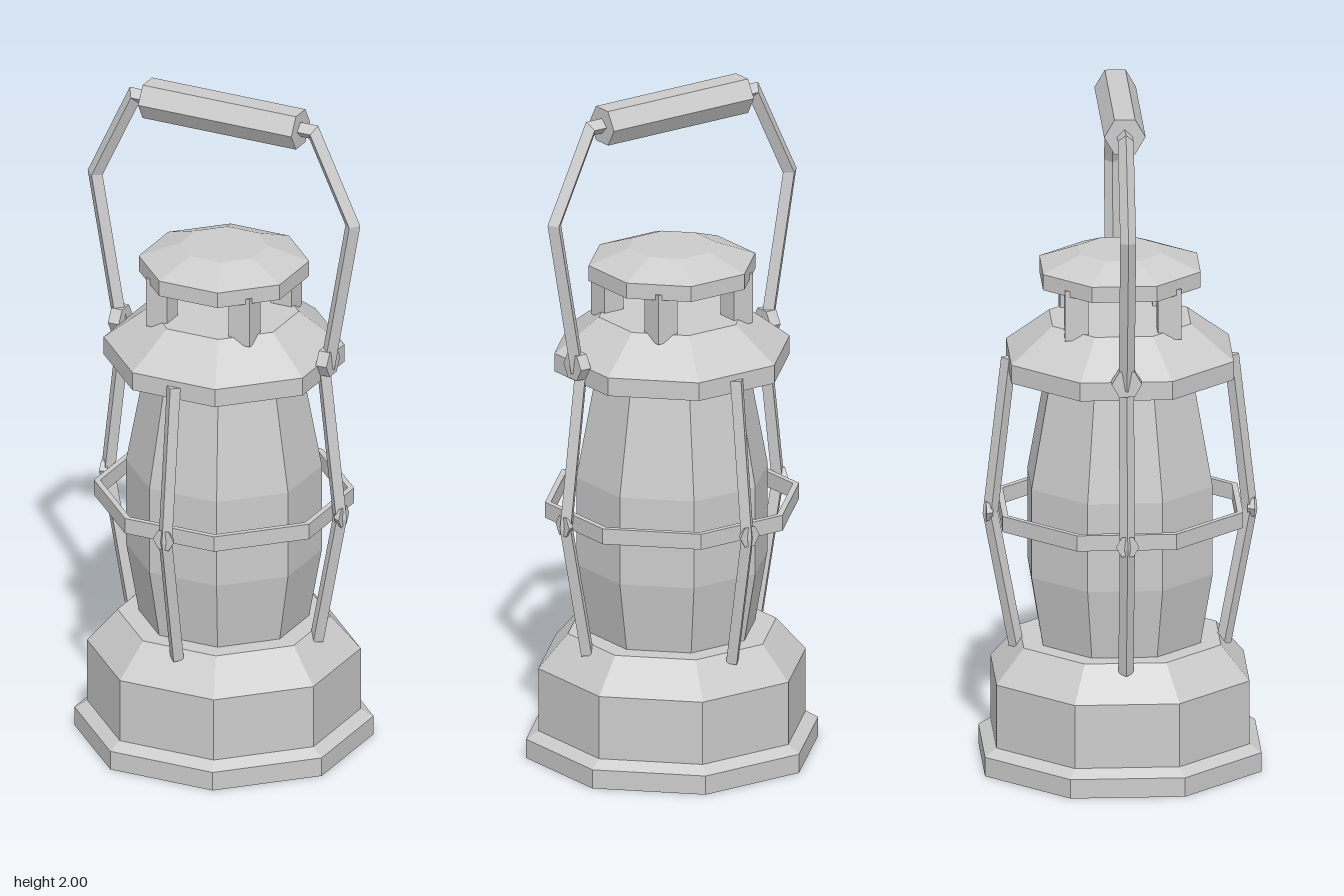
import * as THREE from 'three';

const SIDES = 8;
const toCorner = 1 / Math.cos(Math.PI / SIDES);

// Octagonal turned solid; profile is [distance to flat side, height], going upward
function octagon(name, profile, material) {
  const points = profile.map(([d, y]) => new THREE.Vector2(d * toCorner, y));
  const mesh = new THREE.Mesh(new THREE.LatheGeometry(points, SIDES, Math.PI / SIDES), material);
  mesh.name = name;
  return mesh;
}

// Diamond-section bar mitred along an upward path in the xy plane, with closed ends
function bentBar(path, radius) {
  const pts = path.map(([x, y]) => new THREE.Vector2(x, y));
  const dirs = pts.slice(1).map((p, i) => p.clone().sub(pts[i]).normalize());
  const positions = [];
  const index = [];
  pts.forEach((p, i) => {
    const before = dirs[Math.max(i - 1, 0)];
    const after = dirs[Math.min(i, dirs.length - 1)];
    const t = before.clone().add(after).normalize();
    const r = radius / t.dot(after);
    const nx = t.y * r;
    const ny = -t.x * r;
    positions.push(p.x + nx, p.y + ny, 0, p.x, p.y, -radius, p.x - nx, p.y - ny, 0, p.x, p.y, radius);
    if (i === 0) return;
    for (let k = 0; k < 4; k++) {
      const a = (i - 1) * 4 + k;
      const b = (i - 1) * 4 + (k + 1) % 4;
      index.push(a, b, b + 4, a, b + 4, a + 4);
    }
  });
  const e = (pts.length - 1) * 4;
  index.push(0, 2, 1, 0, 3, 2, e, e + 1, e + 2, e, e + 2, e + 3);
  const geometry = new THREE.BufferGeometry();
  geometry.setAttribute('position', new THREE.Float32BufferAttribute(positions, 3));
  geometry.setIndex(index);
  const flat = geometry.toNonIndexed();
  flat.computeVertexNormals();
  return flat;
}

// Hexagonal prism lying along x, with corners towards front and back
function hexAlongX(rightRadius, leftRadius, length) {
  return new THREE.CylinderGeometry(rightRadius, leftRadius, length, 6).rotateZ(-Math.PI / 2);
}

export function createModel() {
  const model = new THREE.Group();
  model.name = 'lantern';
  const metal = new THREE.MeshStandardMaterial({ color: 0xcccccc, flatShading: true });
  metal.name = 'light grey';

  const add = (name, geometry, parent = model) => {
    const mesh = new THREE.Mesh(geometry, metal);
    mesh.name = name;
    parent.add(mesh);
    return mesh;
  };

  // Body, from the foot to the lid
  model.add(
    octagon('base', [[0, 0], [0.4, 0], [0.4, 0.057], [0.366, 0.08], [0.366, 0.27], [0.285, 0.37], [0, 0.37]], metal),
    octagon('glassChimney', [[0.228, 0.37], [0.262, 0.58], [0.262, 0.845], [0.205, 1.175]], metal),
    octagon('guardRing', [[0.331, 0.73], [0.348, 0.73], [0.348, 0.777], [0.331, 0.777], [0.331, 0.73]], metal),
    octagon('shoulder', [[0, 1.175], [0.322, 1.175], [0.322, 1.23], [0.2, 1.33], [0, 1.33]], metal),
    octagon('lid', [[0, 1.443], [0.228, 1.443], [0.228, 1.49], [0.118, 1.534], [0, 1.534]], metal),
  );

  // Posts that carry the lid
  for (const x of [-1, 1]) {
    for (const z of [-1, 1]) {
      add('lidPost', new THREE.BoxGeometry(0.068, 0.15, 0.068)).position.set(x * 0.134, 1.385, z * 0.134);
    }
  }

  // Four bent guard rods, each with a rivet at the bend
  const rodGeometry = bentBar([[0.3, 0.345], [0.375, 0.745], [0.322, 1.212]], 0.022);
  const rivetGeometry = hexAlongX(0.034, 0.025, 0.02);
  for (let i = 0; i < 4; i++) {
    const guard = new THREE.Group();
    guard.name = 'guardRod';
    add('rod', rodGeometry, guard);
    add('rivet', rivetGeometry, guard).position.set(0.378, 0.752, 0);
    guard.rotation.y = i * Math.PI / 2;
    model.add(guard);
  }

  // Carrying handle: two bent arms on pivots, and a hexagonal grip
  const armGeometry = bentBar([[0.335, 1.215], [0.417, 1.678], [0.29, 1.948], [0.235, 1.948]], 0.023);
  for (let i = 0; i < 2; i++) {
    const side = new THREE.Group();
    side.name = i ? 'rightHandleSide' : 'leftHandleSide';
    add('arm', armGeometry, side);
    add('pivot', hexAlongX(0.044, 0.044, 0.035), side).position.set(0.336, 1.233, 0);
    side.rotation.y = i * Math.PI;
    model.add(side);
  }
  add('grip', hexAlongX(0.06, 0.06, 0.496)).position.set(0, 1.948, 0);

  return model;
}
